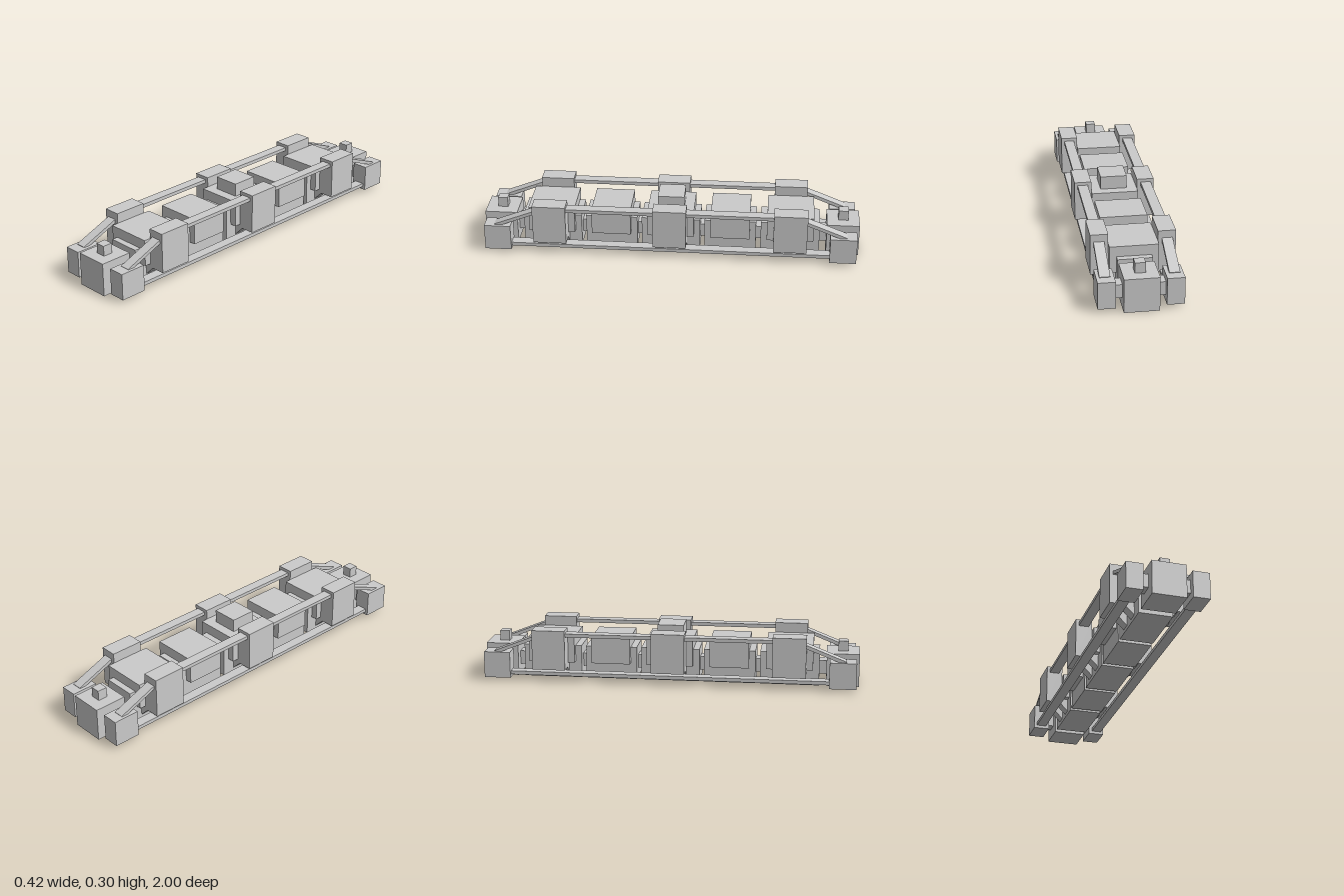
import * as THREE from 'three';

export function createModel() {
  const model = new THREE.Group();
  const material = new THREE.MeshStandardMaterial({ color: 0xcccccc, flatShading: true });

  // Box given by its extents on each axis
  function box(name, x0, x1, y0, y1, z0, z1) {
    const mesh = new THREE.Mesh(new THREE.BoxGeometry(x1 - x0, y1 - y0, z1 - z0), material);
    mesh.position.set((x0 + x1) / 2, (y0 + y1) / 2, (z0 + z1) / 2);
    mesh.name = name;
    model.add(mesh);
    return mesh;
  }
  // Box centred at (x, z), mirrored onto both sides when x is not zero
  function pair(name, x0, x1, y0, y1, z, depth) {
    box(name + 'Left', x0, x1, y0, y1, z - depth / 2, z + depth / 2);
    box(name + 'Right', -x1, -x0, y0, y1, z - depth / 2, z + depth / 2);
  }
  // Bar of square-cut section running between two points
  function bar(name, a, b, width, thickness) {
    const from = new THREE.Vector3(...a), to = new THREE.Vector3(...b);
    const mesh = new THREE.Mesh(new THREE.BoxGeometry(width, thickness, from.distanceTo(to)), material);
    mesh.position.copy(from).lerp(to, 0.5);
    mesh.lookAt(to);
    mesh.name = name;
    model.add(mesh);
  }

  // Spine linking all the hull segments
  box('spine', -0.035, 0.035, 0.05, 0.122, -0.9, 0.9);

  // Hull segments: narrow lower block with a wider upper block
  const segments = [
    { z: -0.635, lower: 0.312, upper: 0.246 },
    { z: -0.317, lower: 0.274, upper: 0.208 },
    { z: 0, lower: 0.312, upper: 0.246 },
    { z: 0.317, lower: 0.274, upper: 0.208 },
    { z: 0.635, lower: 0.312, upper: 0.246 },
  ];
  for (const { z, lower, upper } of segments) {
    box('lowerHull', -0.087, 0.087, 0, 0.176, z - lower / 2, z + lower / 2);
    box('upperHull', -0.122, 0.122, 0.09, 0.23, z - upper / 2, z + upper / 2);
  }

  // Side pods, each carried by two slanted struts
  for (const z of [-0.635, 0, 0.635]) {
    pair('sidePod', 0.122, 0.211, 0.07, 0.283, z, 0.176);
    for (const dz of [-0.06, 0.06]) {
      for (const s of [-1, 1]) {
        bar('podStrut', [s * 0.055, 0.023, z + dz], [s * 0.15, 0.118, z + dz], 0.056, 0.05);
      }
    }
  }

  // Roof block at the centre
  box('roofBlock', -0.07, 0.07, 0.23, 0.3, -0.07, 0.07);

  // End blocks with cross bar, small top cube and end pods
  for (const e of [-1, 1]) {
    const z = e * 0.914;
    box('endBlock', -0.087, 0.087, 0, 0.176, z - 0.086, z + 0.086);
    box('crossBar', -0.13, 0.13, 0.055, 0.125, z - 0.035, z + 0.035);
    box('topCube', -0.026, 0.026, 0.176, 0.23, z - 0.026, z + 0.026);
    pair('endPod', 0.123, 0.21, 0.019, 0.159, z, 0.14);
    // Sloping braces from the outer side pods down to the end pods
    for (const s of [-1, 1]) {
      bar('slopingBrace', [s * 0.168, 0.26, e * 0.66], [s * 0.168, 0.154, e * 0.928], 0.053, 0.018);
    }
  }

  // Long upper and lower rails on both sides
  pair('upperRail', 0.141, 0.195, 0.247, 0.266, 0, 1.27);
  pair('lowerRail', 0.141, 0.195, 0.035, 0.054, 0, 1.83);

  return model;
}
